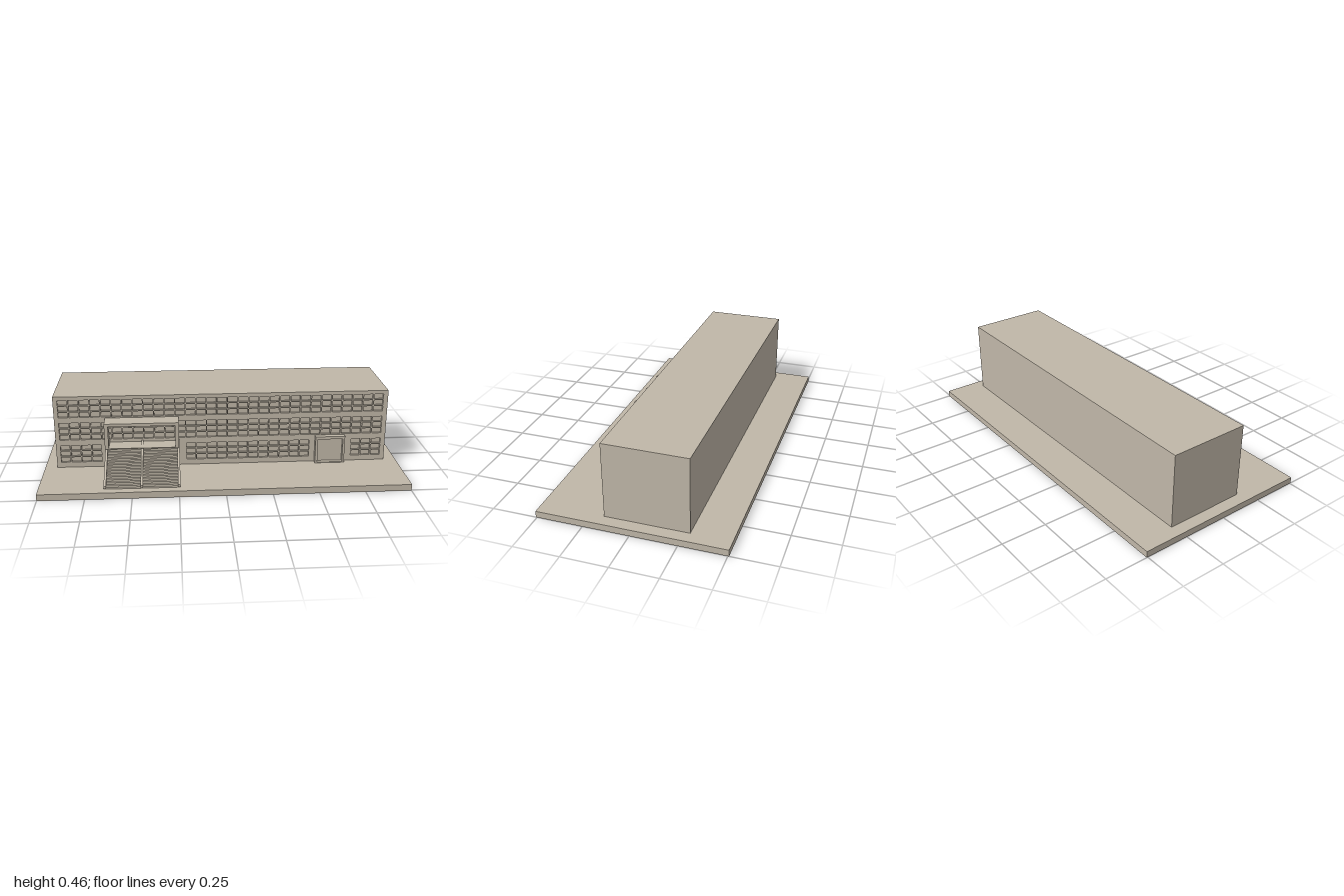
import * as THREE from 'three';

export function createModel() {
  const model = new THREE.Group();
  model.name = 'schoolBuilding';
  const stone = new THREE.MeshStandardMaterial({ color: 0xc0b7a8 });
  stone.name = 'warm stone';

  const add = (geo, name, parent = model) => {
    const mesh = new THREE.Mesh(geo, stone);
    mesh.name = name;
    parent.add(mesh);
    return mesh;
  };
  // Box given by its two opposite corners
  const box = (name, x0, x1, y0, y1, z0, z1, parent) =>
    add(new THREE.BoxGeometry(x1 - x0, y1 - y0, z1 - z0)
      .translate((x0 + x1) / 2, (y0 + y1) / 2, (z0 + z1) / 2), name, parent);
  // Side profile of [z, y] points, extruded from x0 to x1
  const profile = (name, pts, x0, x1, parent) => {
    const shape = new THREE.Shape(pts.map(([z, y]) => new THREE.Vector2(z, y)));
    const geo = new THREE.ExtrudeGeometry(shape, { depth: x1 - x0, bevelEnabled: false });
    return add(geo.rotateY(-Math.PI / 2).translate(x1, 0, 0), name, parent);
  };
  const rect = (path, x0, x1, y0, y1) =>
    path.moveTo(x0, y0).lineTo(x1, y0).lineTo(x1, y1).lineTo(x0, y1).closePath();

  const ground = 0.036, front = 0.16, recess = 0.0135;
  box('basePlate', -1, 1, 0, ground, -0.506, 0.506);
  box('buildingCore', -0.932, 0.932, ground, 0.455, -0.292, front - recess);

  // Front wall pierced by three storeys of three-pane windows
  const paneH = 0.0295, panePitch = 0.0355, paneW = 0.0515, colPitch = 0.05875;
  const storeyTops = [0.167, 0.301, 0.434];
  const facade = new THREE.Shape();
  rect(facade, -0.932, 0.932, ground, 0.455);
  storeyTops.forEach((top, storey) => {
    for (let col = 0; col < 31; col++) {
      const blocked = (col >= 4 && col <= 11) || (col >= 24 && col <= 27);
      if (storey === 0 && blocked) continue;
      const x = -0.908 + col * colPitch;
      for (let pane = 0; pane < 3; pane++) {
        const y = top - pane * panePitch;
        const hole = new THREE.Path();
        rect(hole, x, x + paneW, y - paneH, y);
        facade.holes.push(hole);
      }
    }
  });
  add(new THREE.ExtrudeGeometry(facade, { depth: recess, bevelEnabled: false })
    .translate(0, 0, front - recess), 'windowFacade');

  // Entrance canopy: roof, floor and side walls notched where panes meet them
  const canopy = new THREE.Group();
  canopy.name = 'entranceCanopy';
  model.add(canopy);
  const cx0 = -0.652, cx1 = -0.245, wall = 0.021, cz = 0.257;
  const side = [[front, 0.179], [cz, 0.179], [cz, 0.327], [front, 0.327]];
  for (let pane = 0; pane < 3; pane++) {
    const y = storeyTops[1] - pane * panePitch;
    side.push([front, y], [front + recess, y], [front + recess, y - paneH], [front, y - paneH]);
  }
  profile('canopySideRight', side, cx0, cx0 + wall, canopy);
  profile('canopySideLeft', side, cx1 - wall, cx1, canopy);
  box('canopyRoof', cx0 + wall, cx1 - wall, 0.31, 0.327, front, cz, canopy);
  box('canopyFloor', cx0 + wall, cx1 - wall, 0.179, 0.183, front, cz, canopy);

  // Solid flight of steps up to the canopy
  const stairs = new THREE.Group();
  stairs.name = 'entranceStairs';
  model.add(stairs);
  const steps = 15, run = 0.0182, rise = (0.179 - ground) / steps, toe = 0.46;
  const flight = [[front, ground]];
  for (let i = 0; i < steps; i++) {
    const z = toe - i * run;
    flight.push([z, ground + i * rise], [z, ground + (i + 1) * rise]);
  }
  flight.push([front, 0.179]);
  profile('steps', flight, -0.648, -0.246, stairs);

  // Three sloping rails
  const rail = [[0.468, 0.042], [0.468, 0.057], [0.187, 0.202], [0.187, 0.183]];
  [['railRight', -0.651, -0.638], ['railMiddle', -0.455, -0.443], ['railLeft', -0.256, -0.243]]
    .forEach(([name, x0, x1]) => profile(name, rail, x0, x1, stairs));

  // Side doorway with a projecting frame
  const door = new THREE.Group();
  door.name = 'sideDoorway';
  model.add(door);
  const frame = new THREE.Shape();
  rect(frame, 0.527, 0.695, ground, 0.196);
  const opening = new THREE.Path();
  rect(opening, 0.541, 0.683, 0.041, 0.18);
  frame.holes.push(opening);
  add(new THREE.ExtrudeGeometry(frame, { depth: 0.03, bevelEnabled: false })
    .translate(0, 0, front), 'doorFrame', door);
  box('doorPanel', 0.541, 0.683, 0.041, 0.18, front, front + 0.006, door);

  return model;
}
